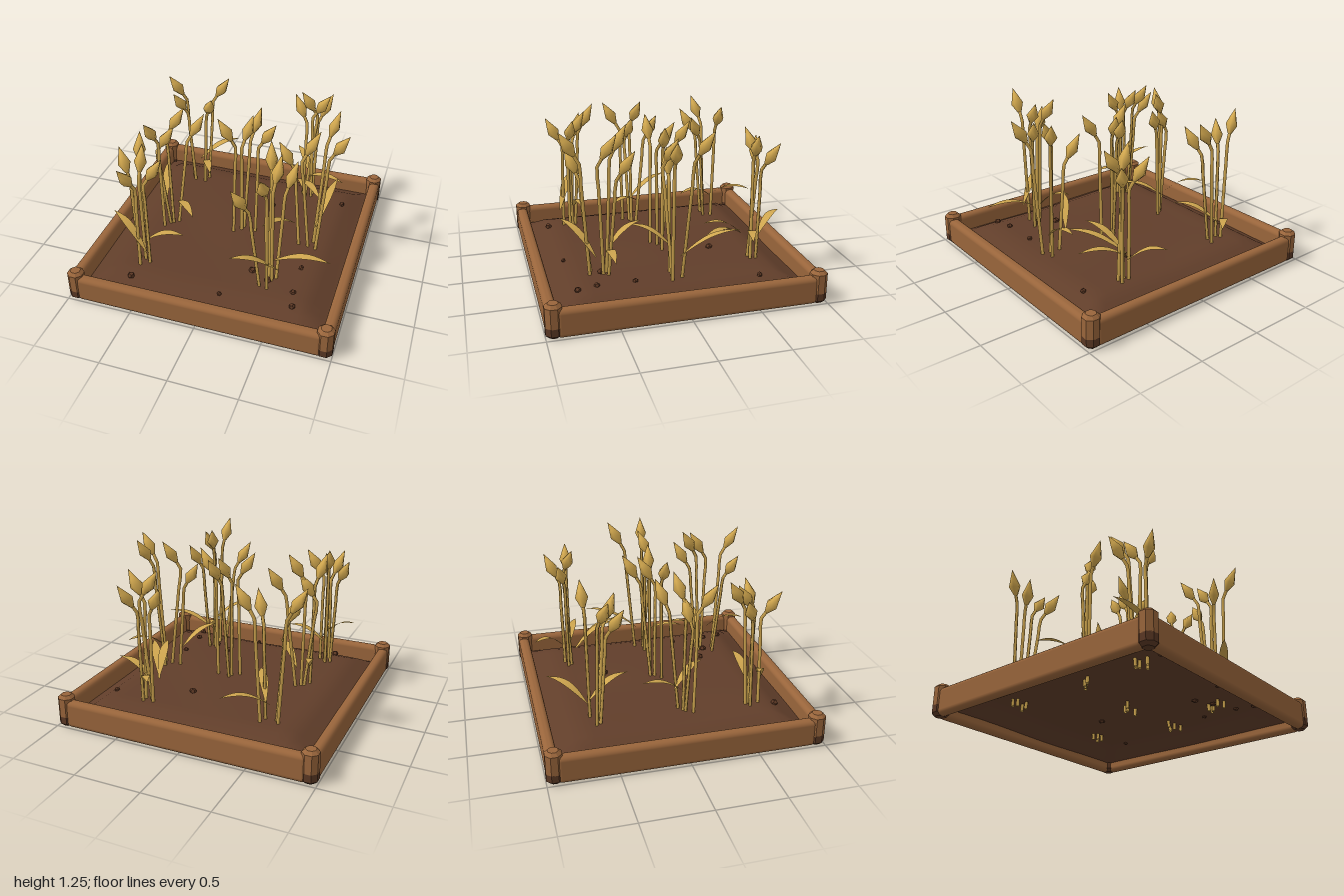
import * as THREE from 'three';
import { RoundedBoxGeometry } from 'three/addons/geometries/RoundedBoxGeometry.js';

const material = (name, color, side = THREE.FrontSide) => {
  const m = new THREE.MeshStandardMaterial({ color, side });
  m.name = name;
  return m;
};

// Soil is a low mound that falls away at the frame
const soilHeight = (x, z) => {
  const edge = Math.max(Math.abs(x), Math.abs(z));
  const drop = THREE.MathUtils.smoothstep(edge, 0.7, 0.95);
  return 0.162 - 0.1 * drop + 0.005 * Math.sin(5 * x + 1) * Math.cos(4 * z);
};

// Each clump: centre [x, z] and the ear tips [x, y, z]
const CLUMPS = [
  { at: [-0.52, -0.61], tips: [[-0.74, 1.16, -0.51], [-0.66, 1.07, -0.39], [-0.27, 1.16, -0.62], [-0.34, 1.07, -0.39]] },
  { at: [-0.55, 0.09], tips: [[-0.29, 1.12, -0.08], [-0.41, 1.21, 0.02], [-0.48, 1.06, 0.07], [-0.62, 1.17, 0.28]] },
  { at: [-0.54, 0.61], tips: [[-0.74, 1.07, 0.46], [-0.61, 1.17, 0.37], [-0.56, 1.12, 0.45], [-0.37, 1.1, 0.57], [-0.62, 1.07, 0.75]] },
  { at: [0.43, -0.62], tips: [[0.27, 1.07, -0.7], [0.56, 1.08, -0.77], [0.57, 1.15, -0.6], [0.35, 1.16, -0.58]] },
  { at: [0.025, 0.04], tips: [[-0.13, 1.18, 0.05], [0.12, 1.17, -0.23], [0.09, 1.16, -0.12]] },
  { at: [0.1, -0.02], tips: [[0.3, 1.18, 0.01]] },
  { at: [0.59, 0.04], tips: [[0.63, 1.19, 0.01], [0.85, 1.23, 0.08], [0.72, 1.25, -0.22], [0.33, 1.05, 0.01]] },
  { at: [0.43, 0.54], tips: [[0.35, 1.24, 0.31], [0.54, 1.1, 0.29], [0.45, 1.2, 0.4], [0.19, 1.06, 0.72], [0.41, 1.23, 0.79]] },
];

// Leaf blades: root x, z, tip x, z, tip height
const LEAVES = [
  [-0.54, -0.64, -0.27, -0.89, 0.44], [-0.5, -0.62, -0.33, -0.3, 0.43],
  [-0.58, 0.08, -0.68, -0.27, 0.51], [-0.5, 0.01, -0.26, 0.29, 0.42],
  [-0.48, 0.68, -0.79, 0.54, 0.55], [-0.55, 0.56, -0.23, 0.55, 0.45],
  [0.44, -0.67, 0.27, -0.91, 0.46], [0.38, -0.64, 0.74, -0.52, 0.42],
  [0.36, -0.58, 0.62, -0.2, 0.45], [0.37, -0.58, 0.47, -0.24, 0.49],
  [0.64, -0.01, 0.71, -0.43, 0.52], [0.48, 0, 0.29, 0.29, 0.47],
  [0.41, 0.48, 0.31, 0.19, 0.5], [0.43, 0.48, 0.86, 0.5, 0.43],
  [0.5, 0.57, 0.19, 0.78, 0.53],
];

const STONES = [
  [0.74, -0.58, 0.02], [0.19, -0.38, 0.027], [0.61, 0.31, 0.02], [0.27, 0.45, 0.027], [0.41, 0.52, 0.027],
  [0.62, 0.59, 0.022], [0.65, 0.73, 0.024], [0.11, 0.75, 0.017], [-0.58, 0.77, 0.027],
];

// Flat slender blade, widest in the middle, arching from root to tip
function leafGeometry([x0, z0, x1, z1, tipY]) {
  const steps = 10, pos = [], index = [];
  const dir = new THREE.Vector2(x1 - x0, z1 - z0).normalize();
  for (let i = 0; i <= steps; i++) {
    const t = i / steps;
    const w = 0.004 * (1 - t) + 0.03 * Math.max(0, Math.sin(Math.PI * t));
    const x = x0 + (x1 - x0) * t, z = z0 + (z1 - z0) * t;
    const y = 0.33 + (tipY - 0.33) * t + 0.055 * Math.sin(Math.PI * t);
    pos.push(x - dir.y * w, y, z + dir.x * w, x + dir.y * w, y, z - dir.x * w);
    if (i < steps) {
      const a = i * 2;
      index.push(a, a + 2, a + 1, a + 1, a + 2, a + 3);
    }
  }
  const g = new THREE.BufferGeometry();
  g.setAttribute('position', new THREE.Float32BufferAttribute(pos, 3));
  g.setIndex(index);
  g.computeVertexNormals();
  return g;
}

// Chamfered square post section, extruded upwards with bevelled ends
function postGeometry(y0, y1) {
  const h = 0.035, c = 0.02, b = 0.023;
  const shape = new THREE.Shape([
    [h, -h + c], [h, h - c], [h - c, h], [-h + c, h], [-h, h - c], [-h, -h + c], [-h + c, -h], [h - c, -h],
  ].map(([x, y]) => new THREE.Vector2(x, y)));
  const g = new THREE.ExtrudeGeometry(shape, {
    depth: y1 - y0 - 2 * b, bevelEnabled: true, bevelSegments: 1, bevelSize: b, bevelThickness: b,
  });
  return g.rotateX(-Math.PI / 2).translate(0, y0 + b, 0);
}

export function createModel() {
  const model = new THREE.Group();
  model.name = 'grainPlanter';
  const wood = material('wood', 0x99653b);
  const darkWood = material('darkWood', 0x5a3824);
  const soil = material('soil', 0x613e2a, THREE.DoubleSide);
  const stone = material('stone', 0x5c3824);
  const straw = material('straw', 0xcfa64f, THREE.DoubleSide);
  const grain = material('grain', 0xd6ab50);

  const add = (parent, name, geometry, mat) => {
    const mesh = new THREE.Mesh(geometry, mat);
    mesh.name = name;
    parent.add(mesh);
    return mesh;
  };

  // Frame: four rounded beams and four corner posts with dark feet
  const frame = new THREE.Group();
  frame.name = 'frame';
  model.add(frame);
  const beam = new RoundedBoxGeometry(1.86, 0.21, 0.084, 3, 0.036);
  ['frontBeam', 'leftBeam', 'backBeam', 'rightBeam'].forEach((name, i) => {
    const a = i * Math.PI / 2;
    const mesh = add(frame, name, beam, wood);
    mesh.rotation.y = a;
    mesh.position.set(Math.sin(a) * 0.953, 0.108, Math.cos(a) * 0.953);
  });
  const post = postGeometry(0.06, 0.25), foot = postGeometry(0.005, 0.11);
  for (const sx of [-1, 1]) for (const sz of [-1, 1]) {
    add(frame, 'cornerPost', post, wood).position.set(sx * 0.942, 0, sz * 0.942);
    add(frame, 'postFoot', foot, darkWood).position.set(sx * 0.942, 0, sz * 0.942);
  }

  // Soil sheet
  const bed = new THREE.PlaneGeometry(1.88, 1.88, 24, 24).rotateX(-Math.PI / 2);
  const p = bed.attributes.position;
  for (let i = 0; i < p.count; i++) p.setY(i, soilHeight(p.getX(i), p.getZ(i)));
  bed.computeVertexNormals();
  add(model, 'soilBed', bed, soil);

  // Stones
  STONES.forEach(([x, z, r], i) => {
    const s = add(model, 'stone', new THREE.DodecahedronGeometry(r), stone);
    s.position.set(x, soilHeight(x, z) + r * 0.2, z);
    s.rotation.set(i, i * 2, 0);
  });

  // Leaning stalks that kink just below a smooth pointed ear
  const ear = new THREE.LatheGeometry(
    [[0, 0], [0.016, 0.012], [0.046, 0.08], [0.026, 0.138], [0, 0.21]].map(([x, y]) => new THREE.Vector2(x, y)), 6);
  const up = new THREE.Vector3(0, 1, 0);
  CLUMPS.forEach(({ at: [cx, cz], tips }) => {
    const clump = new THREE.Group();
    clump.name = 'grainClump';
    model.add(clump);
    tips.forEach(([tx, ty, tz]) => {
      const out = new THREE.Vector3(tx - cx, 0, tz - cz);
      const base = new THREE.Vector3(cx, 0.11, cz).addScaledVector(out, 0.25);
      const axis = out.clone().normalize().multiplyScalar(0.52).setY(0.85).normalize();
      const neck = new THREE.Vector3(tx, ty, tz).addScaledVector(axis, -0.205);
      const bend = neck.clone().addScaledVector(axis, -0.05);
      const path = new THREE.CatmullRomCurve3([
        base, base.clone().lerp(bend, 0.4), base.clone().lerp(bend, 0.8), bend, neck.clone().addScaledVector(axis, 0.02),
      ]);
      add(clump, 'stalk', new THREE.TubeGeometry(path, 12, 0.013, 5), straw);
      const head = add(clump, 'ear', ear, grain);
      head.position.copy(neck);
      head.quaternion.setFromUnitVectors(up, axis);
    });
  });

  // Leaf blades
  LEAVES.forEach((leaf) => add(model, 'leaf', leafGeometry(leaf), straw));
  return model;
}
